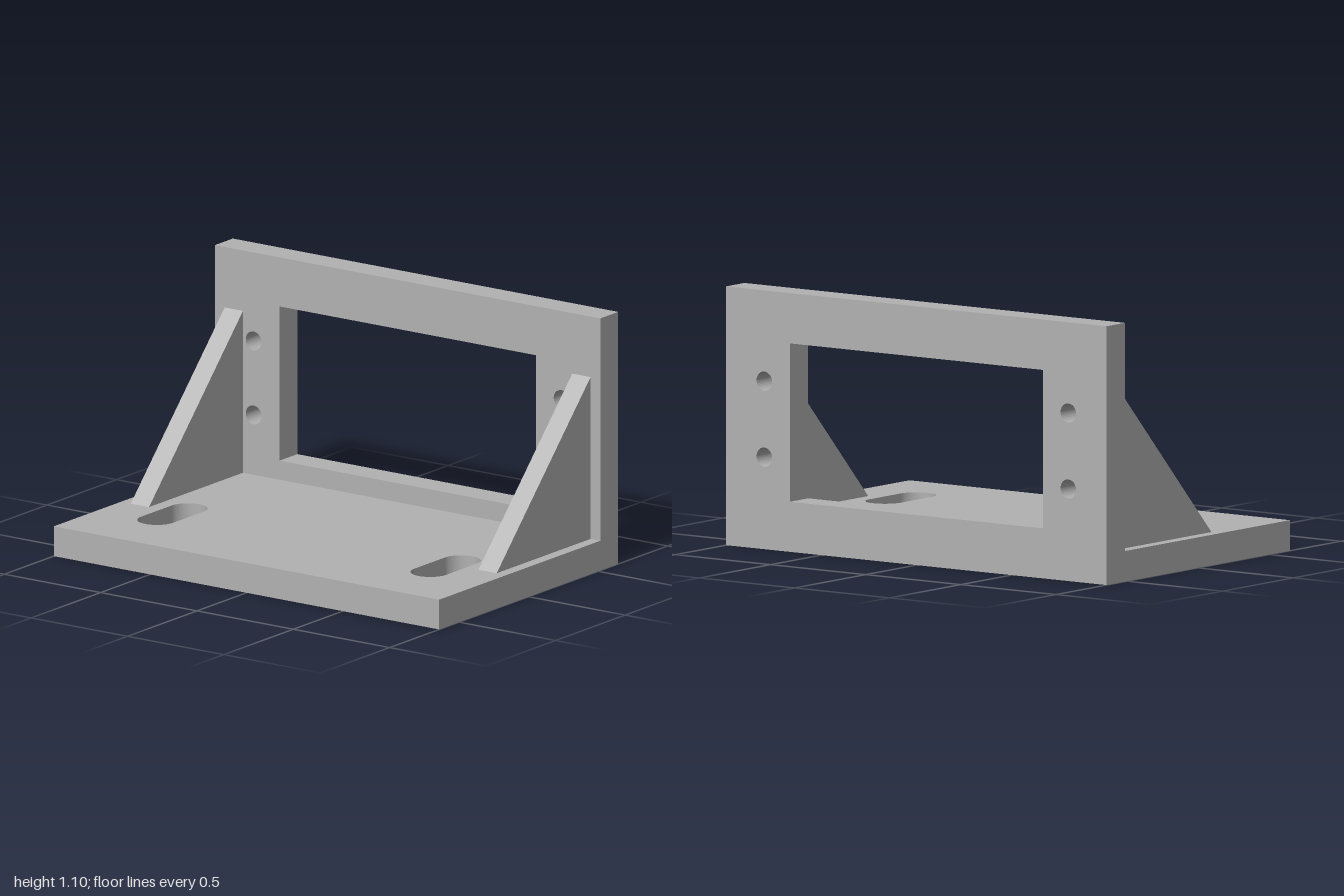
import * as THREE from 'three';

const W = 1, DEPTH = 0.644, T = 0.13, H = 1.1;
const WALL_FRONT = -DEPTH + 0.129;

// Rectangular outline, as a shape or a hole
function rect(Type, x0, y0, x1, y1) {
  const r = new Type();
  r.moveTo(x0, y0);
  r.lineTo(x1, y0);
  r.lineTo(x1, y1);
  r.lineTo(x0, y1);
  r.closePath();
  return r;
}

// Upright slot with rounded ends
function slot(x, y0, y1, r) {
  const p = new THREE.Path();
  p.absarc(x, y1 - r, r, 0, Math.PI, false);
  p.absarc(x, y0 + r, r, Math.PI, Math.PI * 2, false);
  p.closePath();
  return p;
}

const extrude = (shape, depth) =>
  new THREE.ExtrudeGeometry(shape, { depth, bevelEnabled: false, curveSegments: 20 });

export function createModel() {
  const group = new THREE.Group();
  const grey = new THREE.MeshStandardMaterial({ color: 0xb2b2b2 });
  grey.name = 'plain grey';

  const add = (name, geometry) => {
    const mesh = new THREE.Mesh(geometry, grey);
    mesh.name = name;
    group.add(mesh);
  };

  // Base plate with two adjustment slots
  const base = rect(THREE.Shape, -W, -DEPTH, W, -WALL_FRONT);
  for (const s of [-1, 1]) base.holes.push(slot(s * 0.709, -0.388, 0, 0.083));
  add('basePlate', extrude(base, T).rotateX(-Math.PI / 2));

  // Back wall with a window and four screw holes
  const wall = rect(THREE.Shape, -W, 0, W, H);
  wall.holes.push(rect(THREE.Path, -0.665, 0.213, 0.665, 0.886));
  for (const s of [-1, 1]) {
    for (const y of [0.391, 0.714]) {
      const hole = new THREE.Path();
      hole.absarc(s * 0.799, y, 0.041, 0, Math.PI * 2, false);
      wall.holes.push(hole);
    }
  }
  add('backWall', extrude(wall, WALL_FRONT + DEPTH).translate(0, 0, -DEPTH));

  // Triangular gussets bracing the wall
  const tri = new THREE.Shape();
  tri.moveTo(WALL_FRONT, T);
  tri.lineTo(0.16, T);
  tri.lineTo(WALL_FRONT, 0.836);
  tri.closePath();
  for (const [name, s] of [['leftGusset', 1], ['rightGusset', -1]]) {
    const thick = 0.095;
    add(name, extrude(tri, thick).rotateY(-Math.PI / 2).translate(s * 0.902 + thick / 2, 0, 0));
  }

  return group;
}
